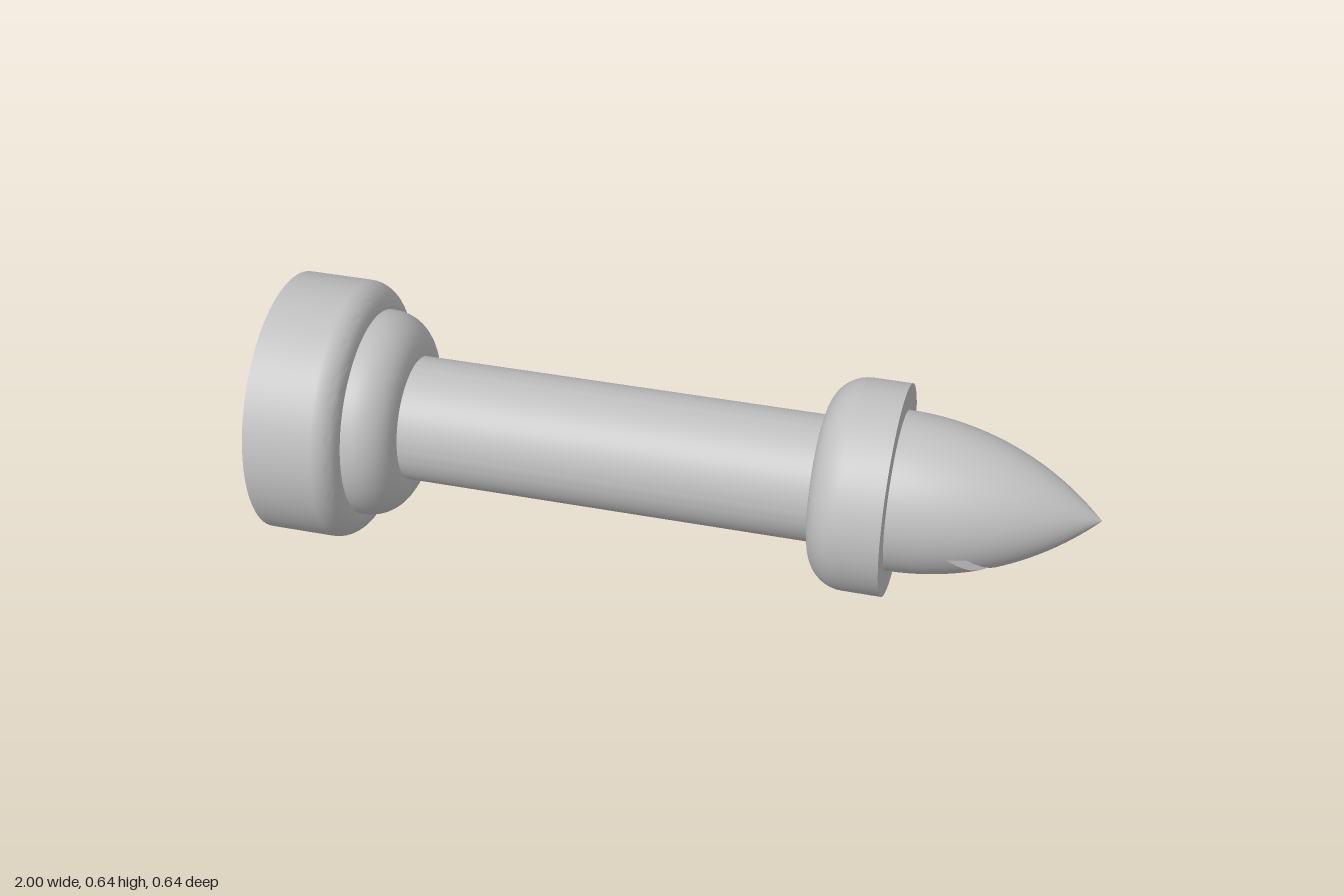
import * as THREE from 'three';
import { toCreasedNormals } from 'three/addons/utils/BufferGeometryUtils.js';

const SEG = 96;
const AXIS_Y = 0.32;

// Head outline: a circular arc from the collar to the tip
const HEAD_START = 0.52, HEAD_R = 0.192, ARC_R = 0.696;
const headRadius = x =>
  Math.max(0, Math.sqrt(ARC_R ** 2 - (x - HEAD_START) ** 2) - (ARC_R - HEAD_R));

// Slot: slanted at 45 degrees, between the lines x + y = SLOT_A and x + y = SLOT_B
const SLOT_TOP = -0.05, SLOT_A = 0.615, SLOT_B = 0.66;

// Turned part: profile of [radius, x] pairs, spun about the x axis
function turned(profile) {
  const g = new THREE.LatheGeometry(profile.map(([r, x]) => new THREE.Vector2(r, x)), SEG);
  return g.rotateZ(-Math.PI / 2);
}

// Quarter-round points about a centre, between two angles
function round(r, x, radius, from, to) {
  return Array.from({ length: 11 }, (_, i) => {
    const a = from + (to - from) * i / 10;
    return [r + radius * Math.cos(a), x + radius * Math.sin(a)];
  });
}

// Keep the part of a polygon where f(position) >= 0
function clip(poly, f) {
  const out = [];
  poly.forEach((a, i) => {
    const b = poly[(i + 1) % poly.length], fa = f(a.p), fb = f(b.p);
    if (fa >= 0) out.push(a);
    if (fa * fb < 0) {
      const t = fa / (fa - fb);
      out.push({ p: a.p.clone().lerp(b.p, t), n: a.n.clone().lerp(b.n, t).normalize() });
    }
  });
  return out;
}

// Pointed head skin with the slot cut away
function headSkin() {
  const profile = Array.from({ length: 33 }, (_, i) => {
    const x = HEAD_START + 0.48 * i / 32;
    return [i === 32 ? 0 : headRadius(x), x];
  });
  const src = turned(profile).toNonIndexed();
  const P = src.attributes.position, N = src.attributes.normal;
  const below = p => SLOT_TOP - p.y;
  const regions = [
    [p => p.y - SLOT_TOP],
    [below, p => SLOT_A - p.x - p.y],
    [below, p => p.x + p.y - SLOT_B],
  ];
  const pos = [], nor = [];
  for (let i = 0; i < P.count; i += 3) {
    const tri = [0, 1, 2].map(k => ({
      p: new THREE.Vector3().fromBufferAttribute(P, i + k),
      n: new THREE.Vector3().fromBufferAttribute(N, i + k),
    }));
    for (const region of regions) {
      const poly = region.reduce(clip, tri);
      for (let k = 1; k + 1 < poly.length; k++) {
        for (const v of [poly[0], poly[k], poly[k + 1]]) {
          pos.push(...v.p.toArray());
          nor.push(...v.n.toArray());
        }
      }
    }
  }
  const g = new THREE.BufferGeometry();
  g.setAttribute('position', new THREE.Float32BufferAttribute(pos, 3));
  g.setAttribute('normal', new THREE.Float32BufferAttribute(nor, 3));
  return g;
}

// Slanted wall line from the slot top down to the head surface
function wallLine(sum) {
  let lo = sum - SLOT_TOP, hi = 1;
  const start = lo;
  for (let i = 0; i < 40; i++) {
    const mid = (lo + hi) / 2;
    if (headRadius(mid) > mid - sum) lo = mid; else hi = mid;
  }
  return Array.from({ length: 25 }, (_, i) => {
    const x = start + (lo - start) * (1 - (1 - i / 24) ** 2);
    return [x, sum - x];
  });
}

// Flat walls inside the slot, spanning the head from side to side
function slotWalls() {
  const path = [...wallLine(SLOT_A).reverse(), ...wallLine(SLOT_B)];
  const half = ([x, y]) => Math.sqrt(Math.max(0, headRadius(x) ** 2 - y * y));
  const pos = [];
  for (let i = 0; i + 1 < path.length; i++) {
    const a = path[i], b = path[i + 1], wa = half(a), wb = half(b);
    pos.push(...a, -wa, ...b, -wb, ...b, wb, ...a, -wa, ...b, wb, ...a, wa);
  }
  const g = new THREE.BufferGeometry();
  g.setAttribute('position', new THREE.Float32BufferAttribute(pos, 3));
  g.computeVertexNormals();
  return g;
}

export function createModel() {
  const group = new THREE.Group();
  group.name = 'lyingBishopPiece';
  const grey = new THREE.MeshStandardMaterial({ color: 0xc0c0c0 });
  grey.name = 'grey';

  const add = (name, geometry) => {
    const mesh = new THREE.Mesh(geometry, grey);
    mesh.name = name;
    mesh.position.y = AXIS_Y;
    group.add(mesh);
  };
  const addTurned = (name, profile) => add(name, toCreasedNormals(turned(profile), 0.5));
  const Q = Math.PI / 2;

  // Foot and rounded step
  addTurned('base', [[0, -1], [0.32, -1], ...round(0.26, -0.84, 0.06, 0, Q), [0.15, -0.78]]);
  addTurned('baseStep', [[0.255, -0.79], ...round(0.16, -0.77, 0.095, 0, Q), [0.14, -0.675]]);

  // Plain shaft
  addTurned('shaft', [[0.153, -0.69], [0.153, 0.35]]);

  // Collar, rounded towards the shaft and flat under the head
  addTurned('collar', [[0.14, 0.335], ...round(0.165, 0.425, 0.09, -Q, 0), [0.255, 0.52], [0.18, 0.52]]);

  // Slotted head
  add('head', headSkin());
  add('headSlot', slotWalls());
  return group;
}
